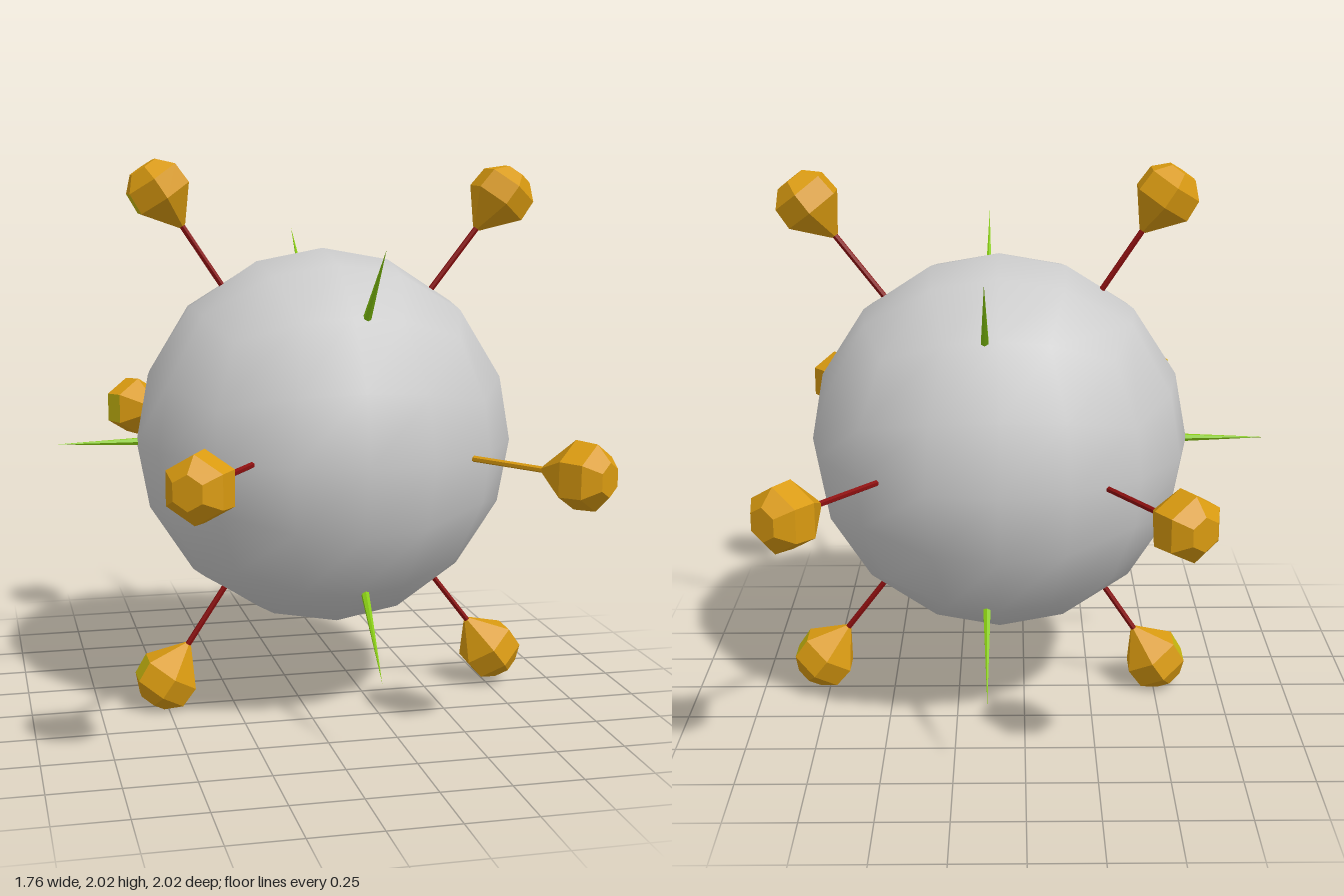
import * as THREE from 'three';

const paint = (name, color, flatShading = true) => {
  const m = new THREE.MeshStandardMaterial({ color, flatShading });
  m.name = name;
  return m;
};

export function createModel() {
  const grey = paint('light grey', 0xcccccc, false);
  const ochre = paint('ochre', 0xd99a10);
  const yellow = paint('olive yellow', 0xc8b810);
  const red = paint('dark red', 0x8b0f0f);
  const green = paint('leaf green', 0x88cc11);

  const model = new THREE.Group();
  model.name = 'spikedBall';
  const core = new THREE.Group();
  core.name = 'core';
  core.position.set(0.09, 1, 0);
  model.add(core);

  const add = (parent, name, geometry, material, y = 0) => {
    const mesh = new THREE.Mesh(geometry, material);
    mesh.name = name;
    mesh.position.y = y;
    parent.add(mesh);
    return mesh;
  };

  // Body: a box of quads pushed out to a sphere, smoothly shaded
  const ball = new THREE.BoxGeometry(2, 2, 2, 4, 4, 4);
  const pos = ball.attributes.position;
  const v = new THREE.Vector3();
  const warp = (t) => (Math.abs(t) > 0.9 ? t : t * 0.76);
  for (let i = 0; i < pos.count; i++) {
    v.fromBufferAttribute(pos, i);
    v.set(warp(v.x), warp(v.y), warp(v.z)).normalize();
    ball.attributes.normal.setXYZ(i, v.x, v.y, v.z);
    pos.setXYZ(i, v.x * 0.688, v.y * 0.688, v.z * 0.688);
  }
  add(core, 'body', ball, grey);

  // Two rings of four stalks with six-sided bulbs, twisted slightly opposite ways
  for (const side of [1, -1]) {
    const start = side > 0 ? 0.95 : 0.925;
    const lean = side > 0 ? Math.atan2(0.61, 0.79) : Math.atan2(0.55, 0.83);
    for (let i = 0; i < 4; i++) {
      const spin = new THREE.Group();
      spin.name = 'bulbArm';
      spin.rotation.x = i * Math.PI / 2 + side * 0.014;
      core.add(spin);
      const arm = new THREE.Group();
      arm.name = 'bulbAndStalk';
      arm.rotation.z = -side * lean;
      spin.add(arm);
      const plain = side > 0 && i === 1;

      const stalkLength = start - 0.64;
      add(arm, 'stalk', new THREE.CylinderGeometry(0.011, 0.011, stalkLength, 6),
        plain ? ochre : red, 0.64 + stalkLength / 2);
      add(arm, 'bulbNeck', new THREE.CylinderGeometry(0.117, 0.014, 0.12, 6), ochre, start + 0.06);

      // Middle band with one differently coloured outward face
      const band = new THREE.CylinderGeometry(0.112, 0.117, 0.08, 6, 1, true);
      const k = side > 0 ? 1 : 4;
      band.clearGroups();
      band.addGroup(0, k * 6, 0);
      band.addGroup(k * 6, 6, plain ? 0 : 1);
      band.addGroup(k * 6 + 6, 30 - k * 6, 0);
      add(arm, 'bulbBand', band, [ochre, yellow], start + 0.16);
      add(arm, 'bulbCap', new THREE.CylinderGeometry(0.058, 0.112, 0.05, 6), ochre, start + 0.225);
    }
  }

  // Thin spikes: four on the diagonals and one on the right side
  const up = new THREE.Vector3(0, 1, 0);
  const spike = (from, to) => {
    const a = new THREE.Vector3(...from);
    const d = new THREE.Vector3(...to).sub(a);
    const mesh = add(core, 'spike', new THREE.ConeGeometry(0.015, d.length(), 6), green);
    mesh.position.copy(a).addScaledVector(d, 0.5);
    mesh.quaternion.setFromUnitVectors(up, d.normalize());
  };
  for (const y of [1, -1]) {
    for (const z of [1, -1]) {
      spike([0.043, y * 0.475, z * 0.475], [0.04, y * 0.725, z * 0.725]);
    }
  }
  spike([-0.66, 0, 0], [-0.985, 0, 0]);

  return model;
}
